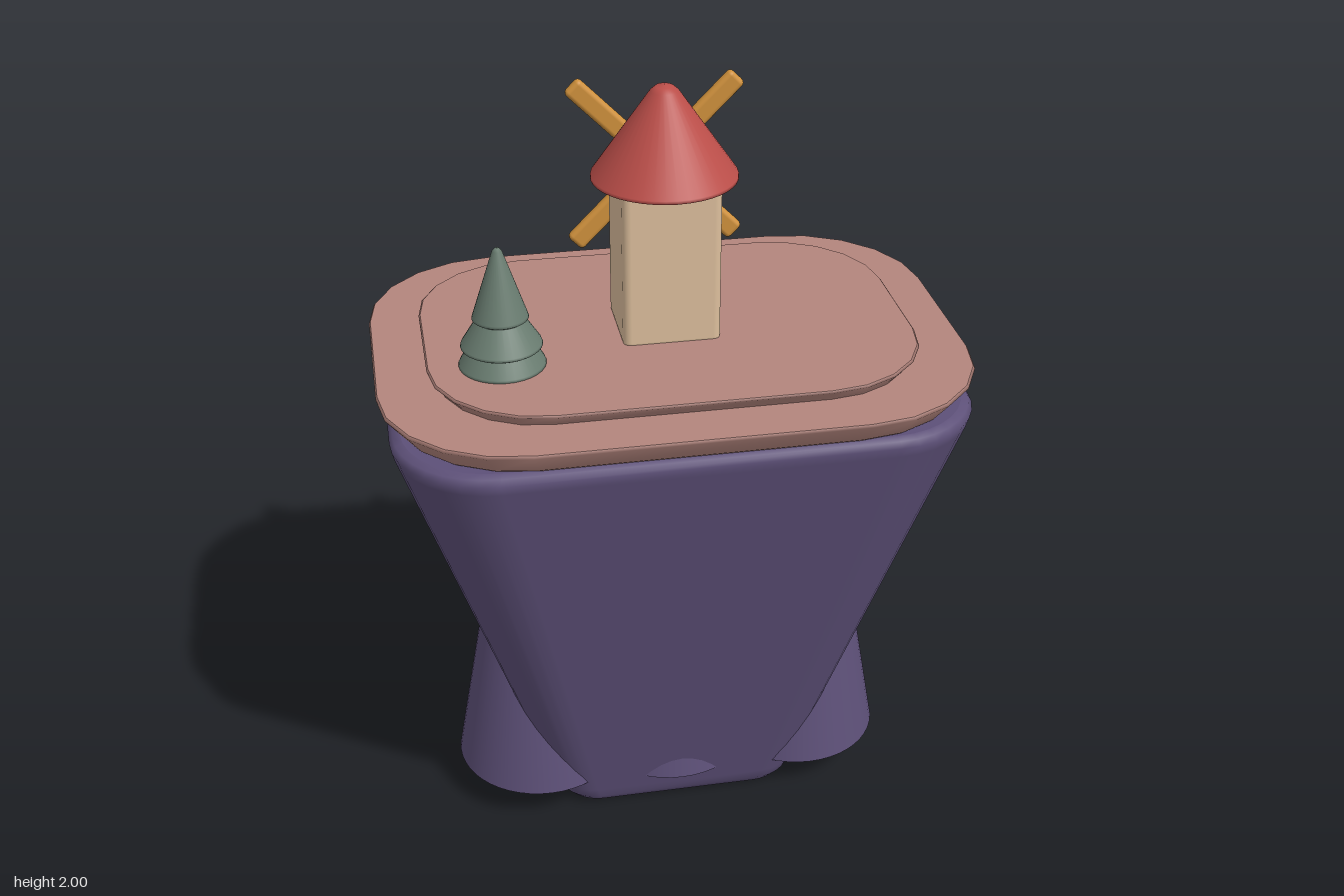
import * as THREE from 'three';
import { RoundedBoxGeometry } from 'three/addons/geometries/RoundedBoxGeometry.js';

const mat = (name, color, side = THREE.FrontSide) => {
  const m = new THREE.MeshStandardMaterial({ color, side });
  m.name = name;
  return m;
};

// Corner points of a rounded rectangle, seen as a ring at height y
function ring([y, hx, hz, r], segs) {
  const pts = [];
  [[1, 1], [-1, 1], [-1, -1], [1, -1]].forEach(([sx, sz], q) => {
    for (let i = 0; i <= segs; i++) {
      const a = (q + i / segs) * Math.PI / 2;
      pts.push([sx * (hx - r) + r * Math.cos(a), y, sz * (hz - r) + r * Math.sin(a)]);
    }
  });
  return pts;
}

// Loft through rounded rectangles (bottom to top) with flat end caps
function loft(levels, segs) {
  const rings = levels.map((l) => ring(l, segs));
  const n = rings[0].length, pos = rings.flat(2), idx = [];
  for (let k = 0; k < rings.length - 1; k++) {
    for (let i = 0; i < n; i++) {
      const a = k * n + i, b = k * n + (i + 1) % n;
      idx.push(a, a + n, b, b, a + n, b + n);
    }
  }
  for (const top of [false, true]) {
    const cap = top ? rings[rings.length - 1] : rings[0];
    const base = pos.length / 3;
    pos.push(...cap.flat(), 0, cap[0][1], 0);
    for (let i = 0; i < n; i++) {
      const a = base + i, b = base + (i + 1) % n;
      idx.push(base + n, top ? b : a, top ? a : b);
    }
  }
  const g = new THREE.BufferGeometry();
  g.setAttribute('position', new THREE.Float32BufferAttribute(pos, 3));
  g.setIndex(idx);
  g.computeVertexNormals();
  return g;
}

const lathe = (pts, segs = 40) =>
  new THREE.LatheGeometry(pts.map(([r, y]) => new THREE.Vector2(r, y)), segs);

export function createModel() {
  const group = new THREE.Group();
  const rockMat = mat('purple rock', 0x5d5078);
  const soilMat = mat('dusty pink ground', 0xb3857d);
  const wallMat = mat('cream wall', 0xdcbe9c);
  const roofMat = mat('red roof', 0xbb4e49);
  const woodMat = mat('ochre wood', 0xd0913c);
  const leafMat = mat('grey green leaves', 0x697c70);

  const add = (name, geo, material, x = 0, y = 0, z = 0, parent = group) => {
    const m = new THREE.Mesh(geo, material);
    m.name = name;
    m.position.set(x, y, z);
    parent.add(m);
    return m;
  };

  // Floating rock, tapering downwards with softened rims
  add('rock', loft([
    [0, 0.29, 0.2, 0.08],
    [0.008, 0.315, 0.225, 0.1],
    [0.03, 0.333, 0.24, 0.11],
    [0.06, 0.343, 0.247, 0.11],
    [1.23, 0.711, 0.52, 0.24],
    [1.255, 0.717, 0.524, 0.24],
    [1.27, 0.708, 0.515, 0.235],
    [1.276, 0.69, 0.497, 0.22],
  ], 8), rockMat);

  // Blunt spurs around the foot of the rock
  for (const x of [-0.365, 0, 0.365]) {
    add('rockSpur', new THREE.CylinderGeometry(0.122, 0.23, 0.6, 48), rockMat, x, 0.4, 0.05);
  }

  // Two stepped ground plates
  add('groundPlate', loft([
    [1.27, 0.69, 0.495, 0.31],
    [1.282, 0.705, 0.51, 0.32],
    [1.333, 0.739, 0.544, 0.34],
    [1.34, 0.735, 0.54, 0.34],
  ], 5), soilMat);
  add('upperGroundPlate', loft([
    [1.335, 0.585, 0.405, 0.25],
    [1.345, 0.59, 0.41, 0.26],
    [1.37, 0.612, 0.432, 0.28],
    [1.375, 0.608, 0.428, 0.28],
  ], 5), soilMat);

  // Windmill
  const mill = new THREE.Group();
  mill.name = 'windmill';
  group.add(mill);
  add('tower', new RoundedBoxGeometry(0.245, 0.44, 0.235, 3, 0.02), wallMat, 0, 1.58, 0, mill);
  add('roof', lathe([
    [0, 1.766], [0.172, 1.766], [0.181, 1.77], [0.18, 1.778],
    [0.035, 1.985], [0.022, 1.996], [0, 2],
  ]), roofMat, 0, 0, 0, mill);

  // Crossed sails and hub on the back
  const sails = new THREE.Group();
  sails.name = 'sails';
  sails.position.set(0, 1.757, -0.134);
  mill.add(sails);
  for (const s of [-1, 1]) {
    const blade = add('sailBlade', new RoundedBoxGeometry(0.052, 0.585, 0.03, 3, 0.012),
      woodMat, 0, 0, 0, sails);
    blade.rotation.z = s * Math.PI / 4;
  }
  add('hub', new THREE.SphereGeometry(0.052, 24, 16), woodMat, 0, 0, 0, sails);

  // Three tiered tree
  const tree = new THREE.Group();
  tree.name = 'tree';
  tree.position.set(-0.427, 0, 0.15);
  group.add(tree);
  for (const [r, y, h, tip] of [
    [0.107, 1.372, 0.12, 0.045], [0.1, 1.424, 0.125, 0.03], [0.069, 1.497, 0.183, 0.012],
  ]) {
    add('treeTier', lathe([
      [0, y], [r - 0.006, y], [r, y + 0.004], [r - 0.002, y + 0.01],
      [tip, y + h - 0.007], [tip * 0.5, y + h], [0, y + h],
    ], 32), leafMat, 0, 0, 0, tree);
  }

  return group;
}
